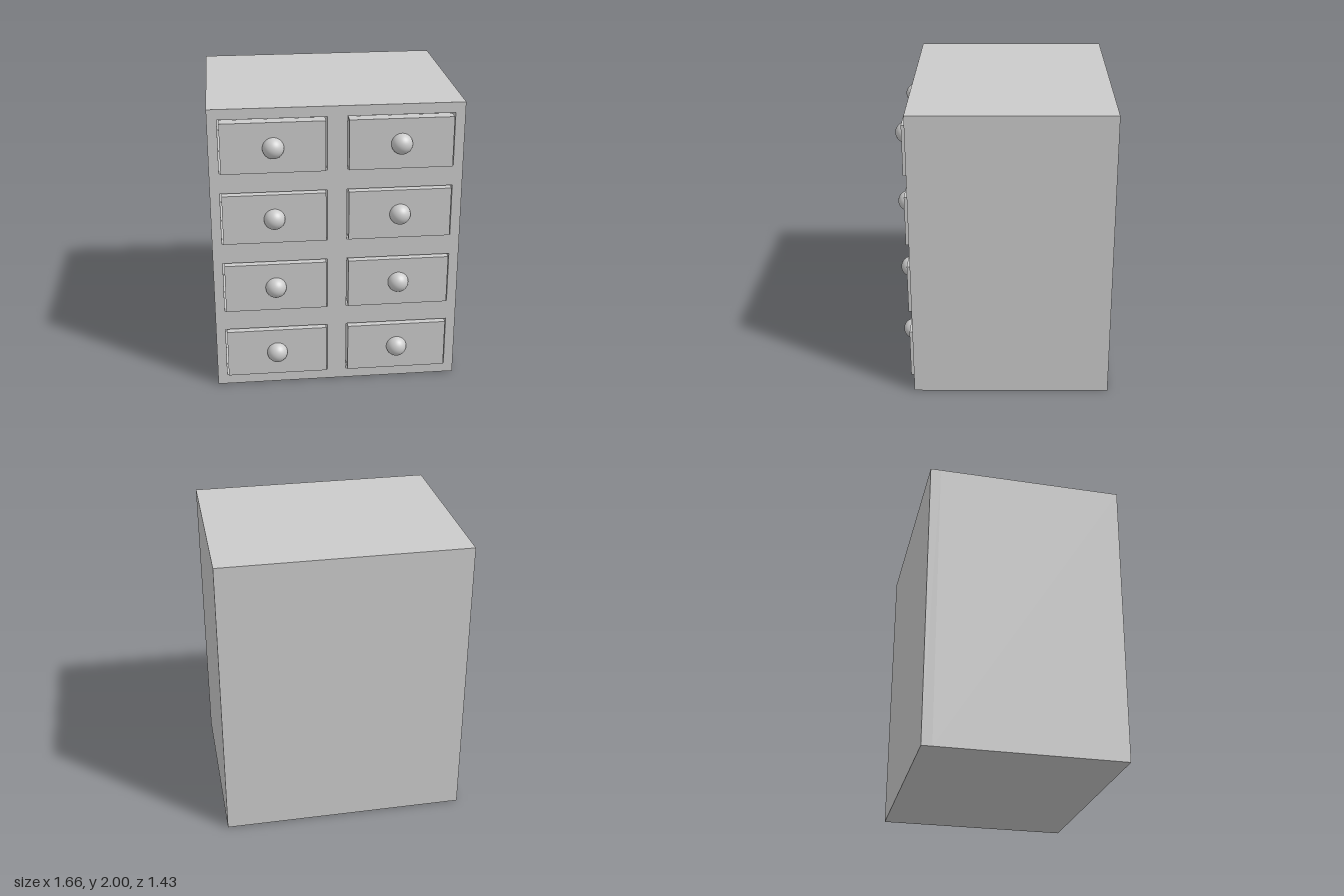
import * as THREE from 'three';

const W = 1.66, H = 2, BACK = -0.715, FRONT = 0.615, WALL = 0.07;
const COLS = [-0.415, 0.415], ROWS = [0.25, 0.75, 1.25, 1.75];
const OPEN_W = 0.7, OPEN_H = 0.36;      // drawer openings
const DRAWER_W = 0.68, DRAWER_H = 0.34; // drawer fronts, with a thin gap all round

const material = new THREE.MeshStandardMaterial({ color: 0xcccccc });

function rect(PathType, cx, cy, w, h) {
  const x = w / 2, y = h / 2;
  return new PathType([[-x, -y], [x, -y], [x, y], [-x, y]]
    .map(([px, py]) => new THREE.Vector2(cx + px, cy + py)));
}

function addMesh(parent, name, geometry, x = 0, y = 0, z = 0) {
  const mesh = new THREE.Mesh(geometry, material);
  mesh.name = name;
  mesh.position.set(x, y, z);
  parent.add(mesh);
  return mesh;
}

// Drawer: proud front panel, open-topped tray behind it, round knob
function createDrawer() {
  const drawer = new THREE.Group();
  const panel = 0.08, panelFront = FRONT + 0.027;
  const panelBack = panelFront - panel, trayBack = BACK + WALL + 0.03;
  const depth = panelBack - trayBack, midZ = (panelBack + trayBack) / 2;
  const wall = 0.03, trayH = DRAWER_H - 0.04;

  addMesh(drawer, 'drawerFront', new THREE.BoxGeometry(DRAWER_W, DRAWER_H, panel),
    0, 0, panelFront - panel / 2);
  addMesh(drawer, 'drawerFloor', new THREE.BoxGeometry(DRAWER_W, wall, depth),
    0, -DRAWER_H / 2 + wall / 2, midZ);
  for (const side of [-1, 1]) {
    addMesh(drawer, 'drawerSide', new THREE.BoxGeometry(wall, trayH, depth),
      side * (DRAWER_W - wall) / 2, -0.02, midZ);
  }
  addMesh(drawer, 'drawerBack', new THREE.BoxGeometry(DRAWER_W, trayH, wall),
    0, -0.02, trayBack + wall / 2);
  addMesh(drawer, 'knob', new THREE.SphereGeometry(0.07, 32, 20), 0, 0, 0.645);
  return drawer;
}

export function createModel() {
  const model = new THREE.Group();
  model.name = 'drawerCabinet';

  // Carcass: one block with eight drawer openings, closed by a back panel
  const outline = rect(THREE.Shape, 0, H / 2, W, H);
  for (const x of COLS) {
    for (const y of ROWS) outline.holes.push(rect(THREE.Path, x, y, OPEN_W, OPEN_H));
  }
  const carcass = new THREE.ExtrudeGeometry(outline,
    { depth: FRONT - BACK - WALL, bevelEnabled: false });
  addMesh(model, 'carcass', carcass, 0, 0, BACK + WALL);
  addMesh(model, 'backPanel', new THREE.BoxGeometry(W, H, WALL), 0, H / 2, BACK + WALL / 2);

  // Drawers: the top row rests lower in its openings
  ROWS.forEach((y, row) => {
    for (const x of COLS) {
      const drawer = createDrawer();
      drawer.name = 'drawer';
      drawer.position.set(x, y - (row === 3 ? 0.008 : 0), 0);
      model.add(drawer);
    }
  });
  return model;
}
